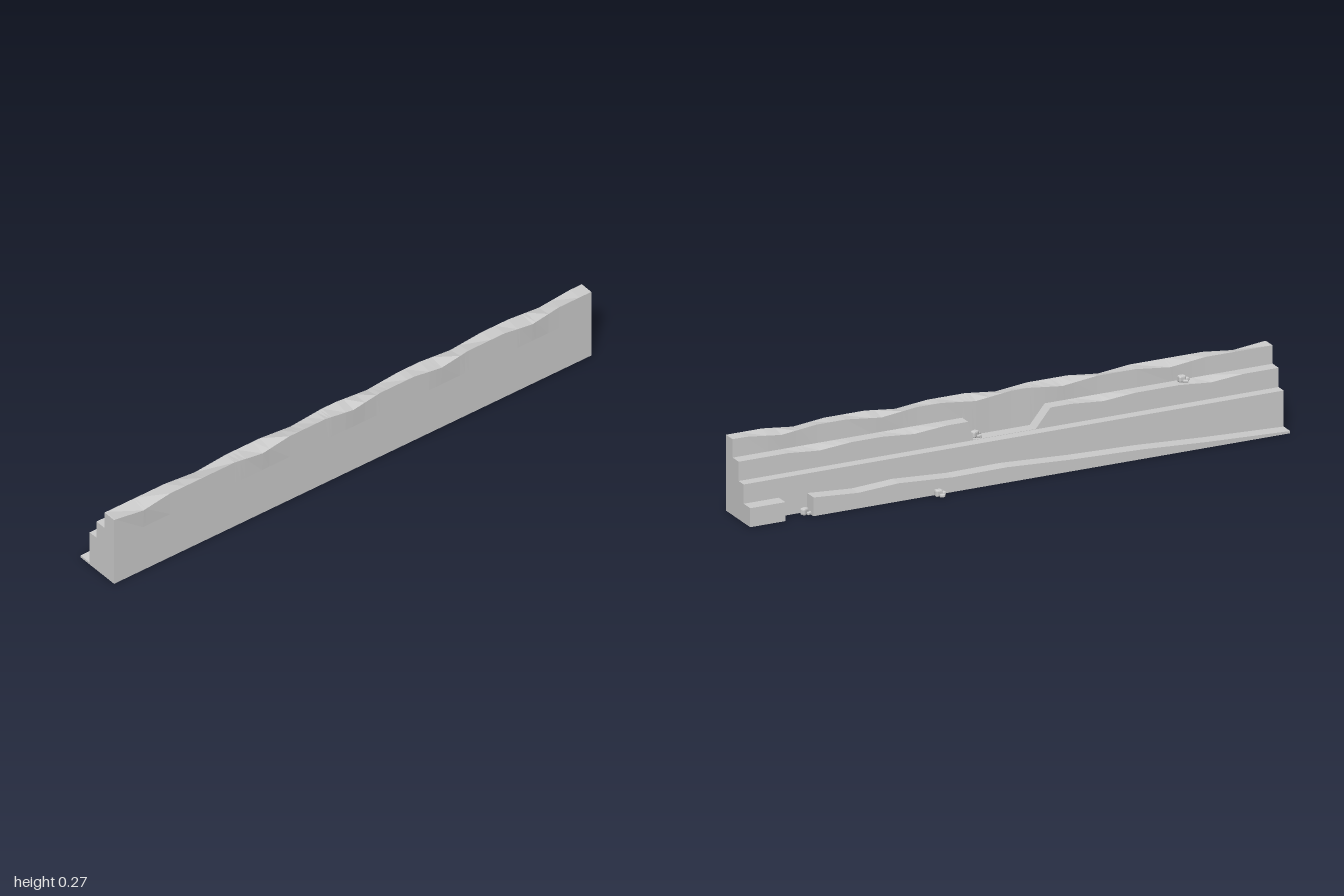
import * as THREE from 'three';
import { RoundedBoxGeometry } from 'three/addons/geometries/RoundedBoxGeometry.js';

const material = new THREE.MeshStandardMaterial({ color: 0xcccccc, flatShading: true, side: THREE.DoubleSide });

// Keys along z as [z, value] pairs, joined by straight lines
const LOW_STEP = [[-1, 0.067], [-0.87, 0.067], [-0.869, 0], [-0.766, 0], [-0.765, 0.066], [-0.6, 0.055], [-0.45, 0.064],
  [-0.25, 0.052], [-0.05, 0.054], [0.2, 0.041], [0.45, 0.034], [0.7, 0.02], [1, 0.008]];
const HIGH_STEP = [[-1, 0.203], [-0.15, 0.203], [-0.13, 0.136], [0.1, 0.136], [0.155, 0.203], [1, 0.203]];
const worn = (centres, half) => centres.flatMap(c => [[c - half, 0], [c, 1], [c + half, 0]]);
const OUTER_WEAR = worn([-0.75, -0.37, 0, 0.38, 0.88], 0.115);
const INNER_WEAR = worn([-0.82, -0.45, -0.1, 0.22, 0.62], 0.13);
const STEP_WEAR = worn([-0.7, -0.35, 0.35, 0.75], 0.12);

function sample(keys, z) {
  if (z <= keys[0][0]) return keys[0][1];
  for (let i = 1; i < keys.length; i++) {
    const [z0, v0] = keys[i - 1], [z1, v1] = keys[i];
    if (z <= z1) return v0 + (v1 - v0) * (z - z0) / (z1 - z0);
  }
  return keys[keys.length - 1][1];
}

// Stepped cross-section, from the foot of the tall wall over to the lowest step
function section(z) {
  const low = sample(LOW_STEP, z), high = sample(HIGH_STEP, z);
  const outer = sample(OUTER_WEAR, z), inner = sample(INNER_WEAR, z);
  const edge = high > 0.2 ? sample(STEP_WEAR, z) : 0;
  return [
    [0.102, 0], [0.102, 0.18], [0.102 + 0.004 * outer, 0.267 - 0.014 * outer],
    [0.051 - 0.002 * inner, 0.268 - 0.014 * inner], [0.051, high],
    [0.007, high - 0.01 * edge], [0.007, 0.135], [-0.03, 0.135],
    [-0.03, low], [-0.078, low], [-0.078, 0],
  ];
}

function loftGeometry() {
  const tables = [LOW_STEP, HIGH_STEP, OUTER_WEAR, INNER_WEAR, STEP_WEAR];
  const stations = [...new Set(tables.flat().map(k => k[0]))].filter(z => Math.abs(z) <= 1).sort((a, b) => a - b);
  const positions = [];
  for (let s = 1; s < stations.length; s++) {
    const z0 = stations[s - 1], z1 = stations[s];
    const a = section(z0), b = section(z1);
    for (let i = 0; i < a.length - 1; i++) {
      // The lowest step is missing inside its gap
      if (i >= 8 && a[9][1] <= 0 && b[9][1] <= 0) continue;
      const A = [...a[i], z0], B = [...a[i + 1], z0], C = [...b[i + 1], z1], D = [...b[i], z1];
      positions.push(...A, ...B, ...C, ...A, ...C, ...D);
    }
  }
  const geometry = new THREE.BufferGeometry();
  geometry.setAttribute('position', new THREE.Float32BufferAttribute(positions, 3));
  geometry.computeVertexNormals();
  return geometry;
}

function addMesh(parent, name, geometry) {
  const mesh = new THREE.Mesh(geometry, material);
  mesh.name = name;
  parent.add(mesh);
  return mesh;
}

// A large chipped stone with two smaller ones beside it
function rubble(x, y, z, turn) {
  const group = new THREE.Group();
  group.name = 'rubble';
  const stones = [[0, 0, 0.021, 0.024, 0.026], [-0.014, 0.008, 0.011, 0.011, 0.018], [0.004, 0.021, 0.016, 0.013, 0.014]];
  for (const [sx, sz, w, h, d] of stones) {
    const stone = addMesh(group, 'stone', new RoundedBoxGeometry(w, h, d, 1, w * 0.25));
    stone.position.set(sx, h / 2, sz);
    stone.rotation.y = sx * 20;
  }
  group.position.set(x, y, z);
  group.rotation.y = turn;
  return group;
}

export function createModel() {
  const model = new THREE.Group();
  model.name = 'steppedRuinWall';

  // Hollow stepped shell, open underneath
  addMesh(model, 'steppedWall', loftGeometry());

  // Flat ends
  for (const z of [-1, 1]) {
    const shape = new THREE.Shape(section(z).map(([x, y]) => new THREE.Vector2(x, y)));
    addMesh(model, z > 0 ? 'frontEnd' : 'backEnd', new THREE.ShapeGeometry(shape)).position.z = z;
  }

  // Fallen stones
  model.add(
    rubble(-0.092, 0, -0.31, 0),
    rubble(-0.05, 0, -0.785, 0.5),
    rubble(0.03, 0.135, -0.115, 0.4),
    rubble(0.036, 0.201, 0.655, 0),
  );
  return model;
}
